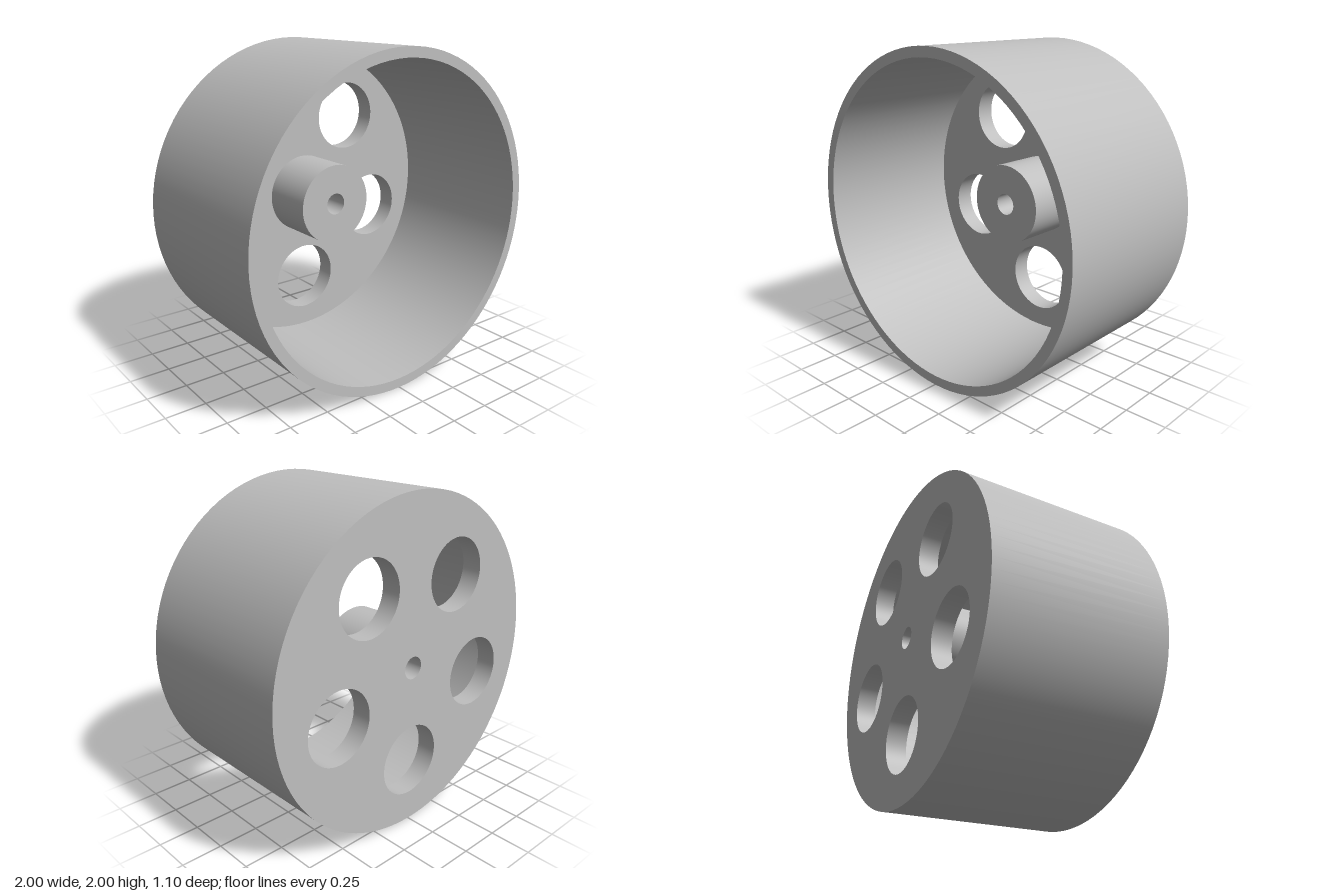
import * as THREE from 'three';

const SEG = 96;
const BACK = -0.55, FRONT = 0.55, WEB = -0.425, HUB = -0.075;
const R = 1, INNER = 0.94, HUB_R = 0.25, BORE = 0.067;
const HOLE_R = 0.22, HOLE_RING = 0.593;

export function createModel() {
  const grey = new THREE.MeshStandardMaterial({ color: 0xbfbfbf });
  grey.name = 'plain grey';

  const model = new THREE.Group();
  model.name = 'wheel';
  const part = (name) => {
    const group = new THREE.Group();
    group.name = name;
    group.position.y = R;
    model.add(group);
    return group;
  };
  const add = (group, name, geometry) => {
    const mesh = new THREE.Mesh(geometry, grey);
    mesh.name = name;
    group.add(mesh);
    return mesh;
  };

  // Smooth wall along z: faces outward when z1 > z0, inward when z1 < z0
  const wall = (r, z0, z1) => new THREE.LatheGeometry(
    [new THREE.Vector2(r, z0), new THREE.Vector2(r, z1)], SEG).rotateX(Math.PI / 2);

  // Flat disc with round holes, each given as [x, y, radius]
  const face = (r, holes, z, backward = false) => {
    const shape = new THREE.Shape().absarc(0, 0, r, 0, Math.PI * 2);
    for (const [x, y, hr] of holes) {
      shape.holes.push(new THREE.Path().absarc(x, y, hr, 0, Math.PI * 2, true));
    }
    const geometry = new THREE.ShapeGeometry(shape, SEG / 2);
    if (backward) geometry.rotateY(Math.PI);
    return geometry.translate(0, 0, z);
  };

  // Five round openings, one at the bottom
  const openings = Array.from({ length: 5 }, (_, i) => {
    const a = -Math.PI / 2 + i * Math.PI * 2 / 5;
    return [HOLE_RING * Math.cos(a), HOLE_RING * Math.sin(a), HOLE_R];
  });

  // Rim: outer tread, inner wall and front lip
  const rim = part('rim');
  add(rim, 'tread', wall(R, BACK, FRONT));
  add(rim, 'innerWall', wall(INNER, FRONT, WEB));
  add(rim, 'frontLip', face(R, [[0, 0, INNER]], FRONT));

  // Web: the plate closing the back, pierced by the openings
  const web = part('web');
  add(web, 'backFace', face(R, [...openings, [0, 0, BORE]], BACK, true));
  add(web, 'innerFace', face(INNER, [...openings, [0, 0, HUB_R]], WEB));
  for (const [x, y, r] of openings) {
    add(web, 'openingWall', wall(r, WEB, BACK)).position.set(x, y, 0);
  }

  // Hub: short boss with the axle bore
  const hub = part('hub');
  add(hub, 'hubSide', wall(HUB_R, WEB, HUB));
  add(hub, 'hubFace', face(HUB_R, [[0, 0, BORE]], HUB));
  add(hub, 'axleBore', wall(BORE, HUB, BACK));

  return model;
}
